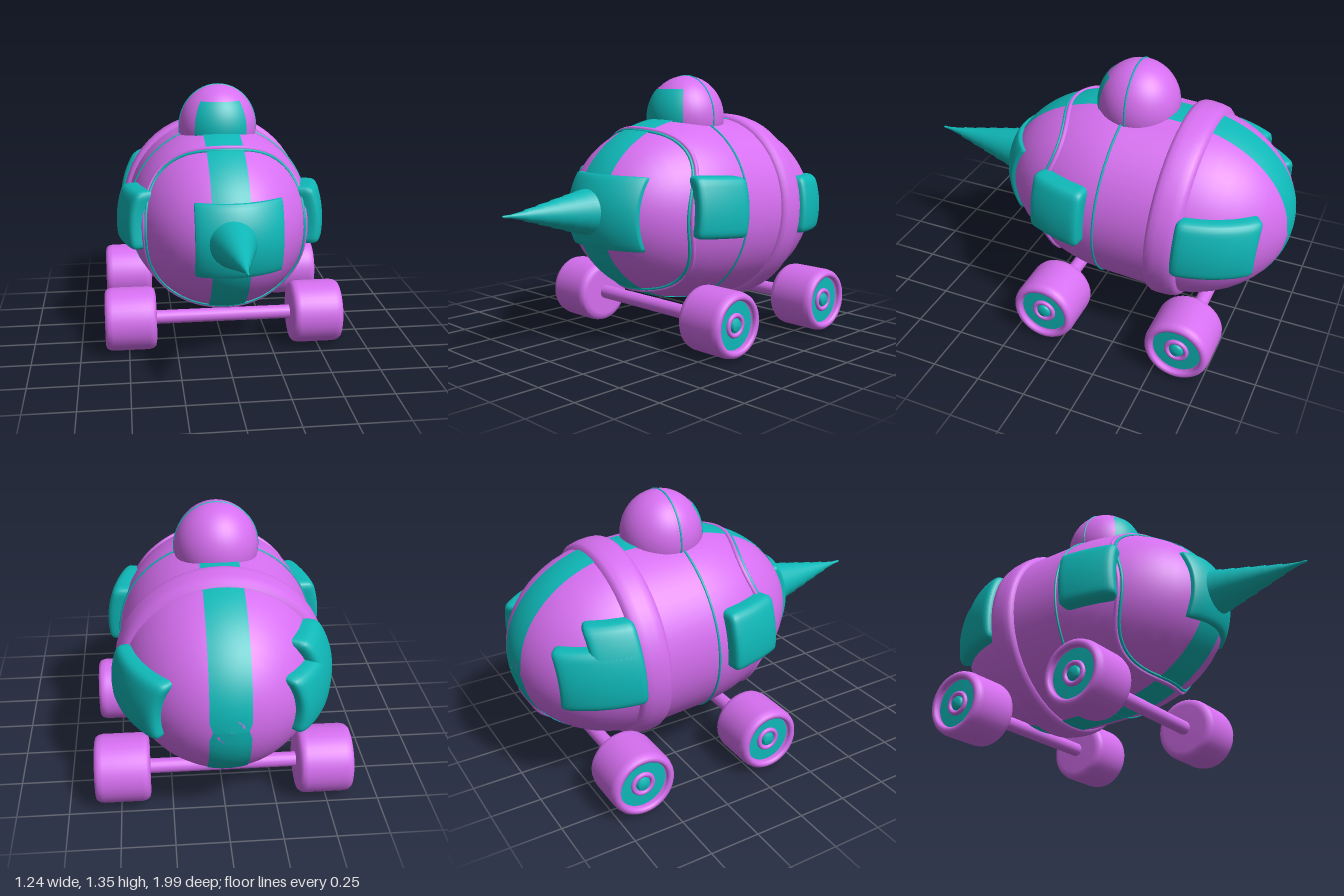
import * as THREE from 'three';
import { mergeVertices } from 'three/addons/utils/BufferGeometryUtils.js';

const PINK = new THREE.MeshStandardMaterial({ color: 0xd66ff0 });
const TEAL = new THREE.MeshStandardMaterial({ color: 0x0fb8b8 });
const TEAL_THIN = new THREE.MeshStandardMaterial({ color: 0x0fb8b8, side: THREE.DoubleSide });
const R = 0.48, BACK = -0.42, FRONT = -0.15, BACK_LEN = 0.575, FRONT_LEN = 0.66;

// Egg-shaped hull: radius along its long axis
function hullRadius(z) {
  const t = z < BACK ? (z - BACK) / BACK_LEN : z > FRONT ? (z - FRONT) / FRONT_LEN : 0;
  return R * Math.sqrt(Math.max(0, 1 - t * t));
}

function add(parent, name, geometry, material) {
  const mesh = new THREE.Mesh(geometry, material);
  mesh.name = name;
  parent.add(mesh);
  return mesh;
}

// Profile of [radius, position] pairs turned about the z axis
function latheZ(profile, segments = 56) {
  return new THREE.LatheGeometry(profile.map(([r, z]) => new THREE.Vector2(r, z)), segments).rotateX(Math.PI / 2);
}

// Rounded block, subdivided so that it can be wrapped on the hull by a rule
function wrappedBlock(size, radius, warp) {
  const g = new THREE.BoxGeometry(...size, 18, 18, 6);
  g.deleteAttribute('uv');
  g.deleteAttribute('normal');
  const pos = g.attributes.position;
  const half = new THREE.Vector3(...size).multiplyScalar(0.5).subScalar(radius);
  const p = new THREE.Vector3(), inner = new THREE.Vector3();
  for (let i = 0; i < pos.count; i++) {
    p.fromBufferAttribute(pos, i);
    inner.copy(p).clamp(half.clone().negate(), half);
    p.sub(inner).setLength(radius).add(inner);
    pos.setXYZ(i, ...warp(p));
  }
  const merged = mergeVertices(g, 1e-5);
  merged.computeVertexNormals();
  return merged;
}

// Side plate between z0..z1 and y0..y1, standing `out` above the hull
function sidePlate(side, z0, z1, y0, y1, out) {
  const sink = 0.04, zc = (z0 + z1) / 2, yc = (y0 + y1) / 2;
  return wrappedBlock([z1 - z0, y1 - y0, out + sink], 0.03, (p) => {
    const z = zc - side * p.x, y = yc + p.y, c = p.z + (out - sink) / 2;
    const slope = (hullRadius(z + 0.005) - hullRadius(z - 0.005)) / 0.01;
    const n = Math.hypot(1, slope);
    const rad = hullRadius(z) + c / n;
    return [side * Math.sqrt(Math.max(0, rad * rad - y * y)), y, z - c * slope / n];
  });
}

// Stripe running over the hull, lower half when sign is -1
function stripe(sign) {
  const g = new THREE.PlaneGeometry(1, 1, 8, 80);
  const pos = g.attributes.position;
  for (let i = 0; i < pos.count; i++) {
    const a = (pos.getY(i) + 0.5) * Math.PI;
    const mid = (BACK - BACK_LEN + FRONT + FRONT_LEN) / 2, len = (FRONT + FRONT_LEN - BACK + BACK_LEN) / 2;
    const z = mid - len * Math.cos(a) * 1.003;
    const r = hullRadius(z) + 0.004;
    const x = THREE.MathUtils.clamp(pos.getX(i) * 0.186, -r, r);
    pos.setXYZ(i, x * sign, sign * Math.sqrt(Math.max(0, r * r - x * x)), z);
  }
  // rows run from back to front, so the faces are turned outward
  const idx = g.index.array;
  for (let i = 0; i < idx.length; i += 3) [idx[i], idx[i + 1]] = [idx[i + 1], idx[i]];
  g.computeVertexNormals();
  return g;
}

// Wavy seam round the nose, squarish when seen from the front
function noseSeam(shift, lift, thickness) {
  const points = [];
  for (let i = 0; i < 48; i++) {
    const a = (i / 48) * Math.PI * 2;
    const z = 0.215 + shift - 0.07 * Math.sin(2 * a) ** 2;
    const r = hullRadius(z) + lift;
    points.push(new THREE.Vector3(r * Math.cos(a), r * Math.sin(a), z));
  }
  return new THREE.TubeGeometry(new THREE.CatmullRomCurve3(points, true), 144, thickness, 8, true);
}

function buildHull() {
  const hull = new THREE.Group();
  hull.name = 'hull';
  hull.position.y = 0.665;
  hull.rotation.x = -0.06;

  const profile = [];
  for (let i = 0; i <= 12; i++) {
    const a = (i / 12) * Math.PI / 2;
    profile.push([R * Math.sin(a), BACK - BACK_LEN * Math.cos(a)]);
  }
  for (let i = 0; i <= 12; i++) {
    const a = (i / 12) * Math.PI / 2;
    profile.push([R * Math.cos(a), FRONT + FRONT_LEN * Math.sin(a)]);
  }
  add(hull, 'shell', latheZ(profile), PINK);
  add(hull, 'topStripe', stripe(1), TEAL_THIN);
  add(hull, 'bottomStripe', stripe(-1), TEAL_THIN);

  // Raised band, middle joint and nose joint
  add(hull, 'band', latheZ([[0.45, -0.56], [0.478, -0.553], [0.494, -0.535], [0.502, -0.5], [0.506, -0.45],
    [0.504, -0.42], [0.495, -0.402], [0.478, -0.396], [0.45, -0.395]]), PINK);
  add(hull, 'middleSeam', new THREE.TorusGeometry(R, 0.006, 6, 64).translate(0, 0, -0.13), TEAL);
  add(hull, 'noseRim', noseSeam(-0.018, 0, 0.012), PINK);
  add(hull, 'noseSeam', noseSeam(0, 0, 0.008), TEAL);

  // Nose plate, wider on the left
  add(hull, 'nosePlate', wrappedBlock([0.435, 0.36, 0.05], 0.008, (p) => {
    const x = p.x + 0.042, y = p.y + 0.005;
    const z = FRONT + FRONT_LEN * Math.sqrt(1 - (x * x + y * y) / (R * R));
    return [x, y, z + p.z];
  }), TEAL);

  // Stepped drill
  const drill = [[0, 0.46], [0.123, 0.46], [0.123, 0.5]];
  const steps = [0.5, 0.56, 0.63, 0.71, 0.79, 0.87, 0.945];
  const drillRadius = (z) => 0.115 * (0.965 - z) / 0.465;
  for (let i = 1; i < steps.length; i++) {
    drill.push([drillRadius(steps[i - 1]), steps[i - 1] + 0.002], [drillRadius(steps[i]) + 0.005, steps[i]]);
  }
  drill.push([0.008, 0.955], [0.006, 0.99], [0, 1.0]);
  add(hull, 'drill', latheZ(drill, 32), TEAL);

  // Side plates
  for (const side of [1, -1]) {
    const s = side > 0 ? 'left' : 'right';
    add(hull, s + 'FrontPlate', sidePlate(side, -0.08, 0.19, -0.1, 0.2, 0.07), TEAL);
    add(hull, s + 'RearPlate', sidePlate(side, -0.87, -0.53, -0.11, 0.19, 0.055), TEAL);
  }
  add(hull, 'rightRearPlateStep', sidePlate(-1, -0.74, -0.53, -0.11, 0.29, 0.055), TEAL);
  return hull;
}

function buildDome() {
  const dome = new THREE.Group();
  dome.name = 'dome';
  dome.position.set(0, 1.13, -0.175);
  dome.scale.y = 1.08;
  add(dome, 'cap', new THREE.SphereGeometry(0.203, 40, 28), PINK);
  add(dome, 'capSeam', new THREE.TorusGeometry(0.202, 0.005, 6, 48), TEAL);
  // Window with a frame around it
  const patch = (r, halfWidth, top) =>
    new THREE.SphereGeometry(r, 20, 12, Math.PI / 2 - halfWidth, halfWidth * 2, top, Math.PI / 2 - top + 0.2);
  add(dome, 'windowFrame', patch(0.205, 0.77, 0.77), PINK);
  add(dome, 'window', patch(0.208, 0.7, 0.84), TEAL_THIN);
  return dome;
}

function buildWheel() {
  const wheel = new THREE.Group();
  const profile = [[0, 0.355], [0.125, 0.355], [0.148, 0.36], [0.16, 0.374], [0.165, 0.395], [0.165, 0.58],
    [0.16, 0.603], [0.15, 0.616], [0.138, 0.62], [0.127, 0.616], [0.123, 0.605], [0.122, 0.585], [0, 0.585]];
  const turn = (pts) =>
    new THREE.LatheGeometry(pts.map(([r, x]) => new THREE.Vector2(r, x)), 40).rotateZ(-Math.PI / 2);
  add(wheel, 'tyre', turn(profile), PINK);
  add(wheel, 'disc', turn([[0.122, 0.588], [0, 0.59]]), TEAL);
  add(wheel, 'hubRing', new THREE.TorusGeometry(0.05, 0.012, 10, 32).rotateY(Math.PI / 2).translate(0.592, 0, 0), PINK);
  add(wheel, 'hub', turn([[0.034, 0.585], [0.033, 0.6], [0.026, 0.608], [0, 0.61]]), TEAL);
  return wheel;
}

export function createModel() {
  const model = new THREE.Group();
  model.name = 'drillVehicle';
  model.add(buildHull(), buildDome());

  // Two axles with a wheel on each end
  for (const [name, z] of [['front', 0.09], ['rear', -0.62]]) {
    const axle = new THREE.Group();
    axle.name = name + 'Axle';
    axle.position.set(0, 0.165, z);
    add(axle, 'rod', new THREE.CylinderGeometry(0.036, 0.036, 0.74, 20).rotateZ(Math.PI / 2), PINK);
    for (const side of [1, -1]) {
      const wheel = buildWheel();
      wheel.name = name + (side > 0 ? 'LeftWheel' : 'RightWheel');
      if (side < 0) wheel.rotation.y = Math.PI;
      axle.add(wheel);
    }
    model.add(axle);
  }
  return model;
}
